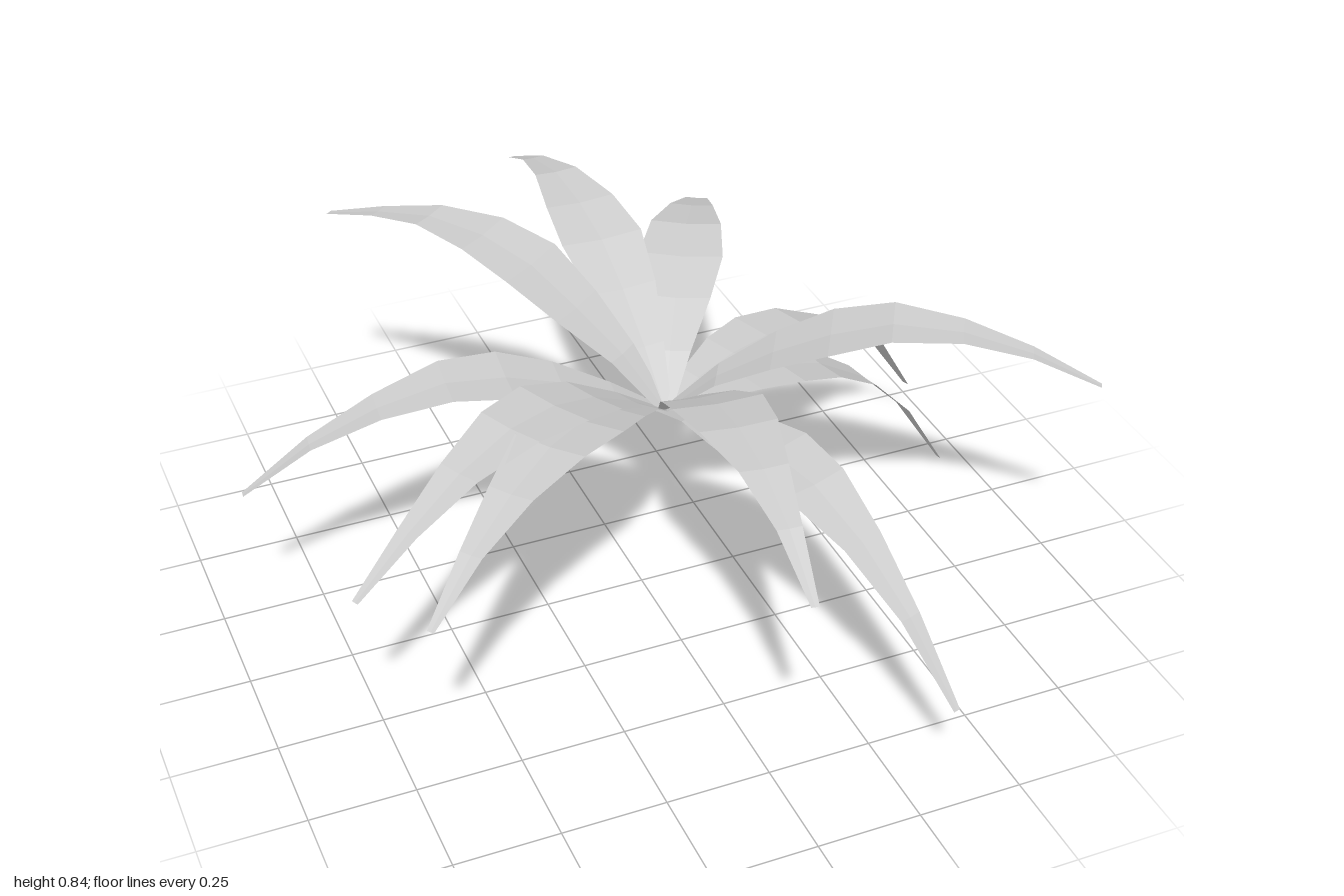
import * as THREE from 'three';

const leafMaterial = new THREE.MeshStandardMaterial({ color: 0xcccccc, flatShading: true, side: THREE.DoubleSide });
leafMaterial.name = 'pale grey';

// Crown where all leaves meet
const CROWN_X = 0.06, CROWN_Z = 0;

// Stations along each leaf and the half width there
const STATIONS = [0, 0.12, 0.25, 0.38, 0.52, 0.68, 0.84, 1];
const HALF_WIDTHS = [0.018, 0.05, 0.085, 0.104, 0.088, 0.055, 0.028, 0.009];

// Tip position seen from above, and the height at every station
const LEAVES = [
  { tip: [0.04, -1.0], y: [0.5, 0.61, 0.7, 0.77, 0.8, 0.805, 0.765, 0.69] },
  { tip: [0.55, -0.9], y: [0.5, 0.59, 0.66, 0.7, 0.71, 0.67, 0.6, 0.5] },
  { tip: [0.935, -0.38], y: [0.5, 0.54, 0.555, 0.55, 0.525, 0.45, 0.33, 0.12] },
  { tip: [0.94, -0.185], y: [0.5, 0.515, 0.52, 0.51, 0.465, 0.37, 0.22, 0] },
  { tip: [0.93, 0.51], y: [0.5, 0.61, 0.69, 0.75, 0.79, 0.78, 0.735, 0.66] },
  { tip: [0.355, 0.94], y: [0.5, 0.55, 0.575, 0.585, 0.57, 0.5, 0.385, 0.22] },
  { tip: [-0.04, 1.0], y: [0.5, 0.61, 0.7, 0.77, 0.8, 0.8, 0.76, 0.68] },
  { tip: [-0.73, 0.63], y: [0.5, 0.59, 0.66, 0.705, 0.72, 0.695, 0.64, 0.55] },
  { tip: [-0.84, 0.455], y: [0.5, 0.59, 0.67, 0.715, 0.725, 0.69, 0.62, 0.53] },
  { tip: [-0.945, -0.105], y: [0.5, 0.57, 0.63, 0.67, 0.68, 0.64, 0.57, 0.46] },
  { tip: [-0.52, -0.79], y: [0.5, 0.62, 0.71, 0.79, 0.83, 0.835, 0.8, 0.75] },
];

// Arching blade: left edge, midrib and right edge at every station
function leafGeometry({ tip, y }) {
  const dx = tip[0] - CROWN_X, dz = tip[1] - CROWN_Z;
  const length = Math.hypot(dx, dz);
  const sideX = dz / length, sideZ = -dx / length;
  const positions = [], indices = [];
  STATIONS.forEach((t, i) => {
    for (const s of [-1, 0, 1]) {
      const w = s * HALF_WIDTHS[i];
      const fold = s === 0 ? 0.06 * HALF_WIDTHS[i] : 0; // shallow channel
      positions.push(CROWN_X + dx * t + sideX * w, y[i] - fold, CROWN_Z + dz * t + sideZ * w);
    }
    if (i === 0) return;
    for (const k of [0, 1]) {
      const a = (i - 1) * 3 + k, b = a + 1, c = a + 3, d = a + 4;
      indices.push(a, c, b, b, c, d);
    }
  });
  const geometry = new THREE.BufferGeometry();
  geometry.setAttribute('position', new THREE.Float32BufferAttribute(positions, 3));
  geometry.setIndex(indices);
  geometry.computeVertexNormals();
  return geometry;
}

export function createModel() {
  const plant = new THREE.Group();
  plant.name = 'leafRosette';
  LEAVES.forEach((leaf, i) => {
    const mesh = new THREE.Mesh(leafGeometry(leaf), leafMaterial);
    mesh.name = `leaf${i + 1}`;
    plant.add(mesh);
  });
  return plant;
}
